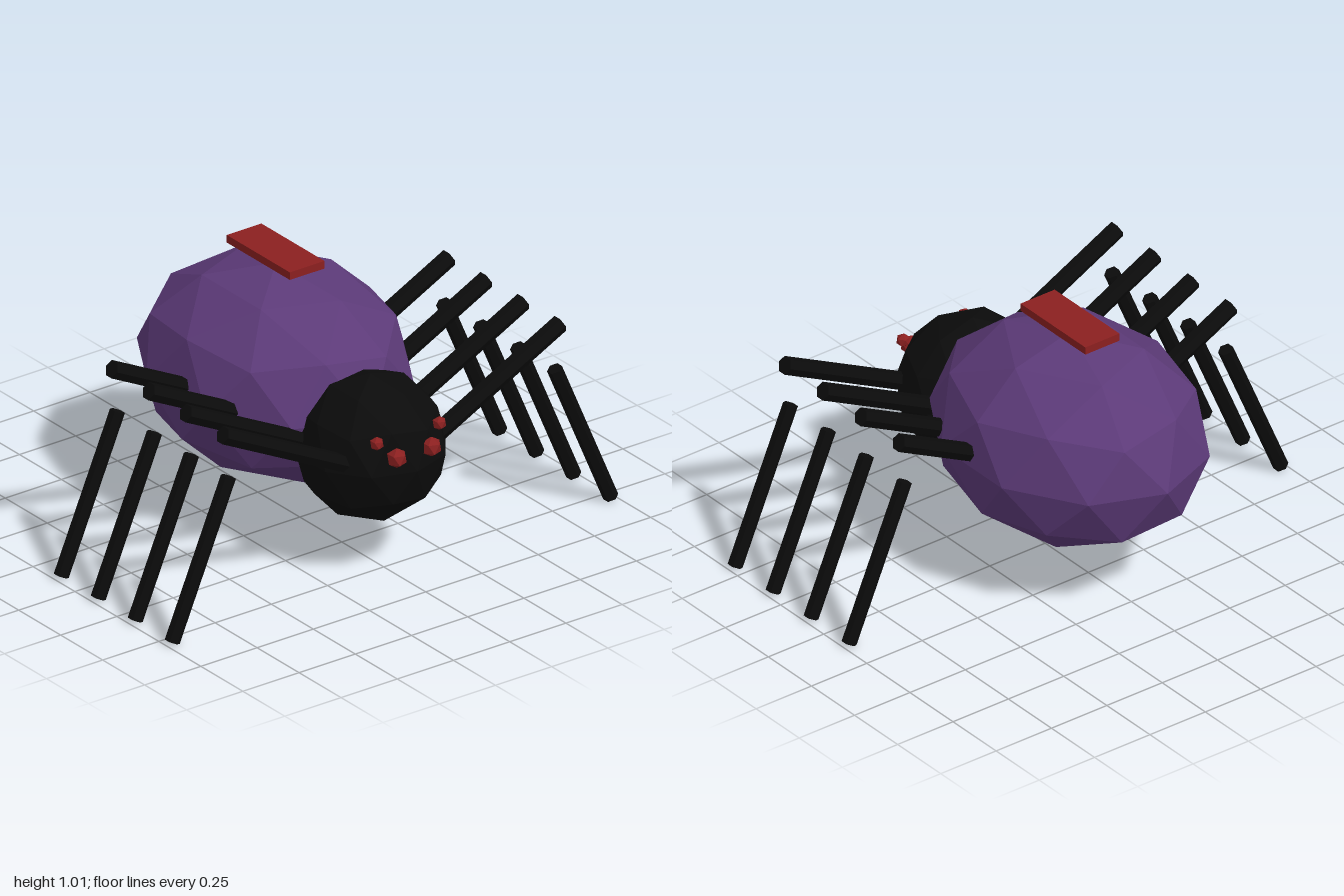
import * as THREE from 'three';

export function createModel() {
  const group = new THREE.Group();
  group.name = 'spider';

  const material = (name, color) => {
    const m = new THREE.MeshStandardMaterial({ color, flatShading: true });
    m.name = name;
    return m;
  };
  const black = material('black', 0x0b0b0b);
  const purple = material('purple', 0x5c3a78);
  const red = material('red', 0x8b2020);

  const add = (name, geometry, mat, x, y, z) => {
    const mesh = new THREE.Mesh(geometry, mat);
    mesh.name = name;
    mesh.position.set(x, y, z);
    group.add(mesh);
    return mesh;
  };

  // Faceted ball with a corner at the top and bottom
  const poleTilt = Math.atan(2 / (1 + Math.sqrt(5)));
  const ball = (rx, ry, rz, detail) =>
    new THREE.IcosahedronGeometry(1, detail).rotateZ(-poleTilt).scale(rx, ry, rz);

  // Body
  add('abdomen', ball(0.467, 0.4, 0.57, 1), purple, 0, 0.556, -0.142);
  add('head', ball(0.28, 0.28, 0.28, 1), black, 0, 0.46, 0.422);
  add('backMarking', new THREE.BoxGeometry(0.154, 0.03, 0.376), red, 0, 0.998, -0.144);

  // Six-sided leg segment between two points in the same z plane
  const legSegment = (name, side, from, to, radius, z) => {
    const dx = side * (to[0] - from[0]);
    const dy = to[1] - from[1];
    const geometry = new THREE.CylinderGeometry(radius, radius, Math.hypot(dx, dy), 6);
    const mesh = add(name, geometry, black,
      side * (from[0] + to[0]) / 2, (from[1] + to[1]) / 2, z);
    mesh.rotation.z = Math.atan2(-dx, dy);
  };

  for (const side of [1, -1]) {
    const label = side > 0 ? 'left' : 'right';

    // Eyes
    add(label + 'InnerEye', ball(0.039, 0.039, 0.039, 0), red, side * 0.077, 0.528, 0.681);
    add(label + 'OuterEye', ball(0.027, 0.027, 0.027, 0), red, side * 0.139, 0.589, 0.645);

    // Four pairs of legs
    for (let i = 0; i < 4; i++) {
      const z = 0.546 - i * 0.2203;
      legSegment(label + 'UpperLeg' + (i + 1), side, [0.187, 0.481], [0.751, 0.765], 0.034, z);
      legSegment(label + 'LowerLeg' + (i + 1), side, [0.725, 0.592], [0.975, 0.01], 0.0285, z);
    }
  }

  return group;
}
